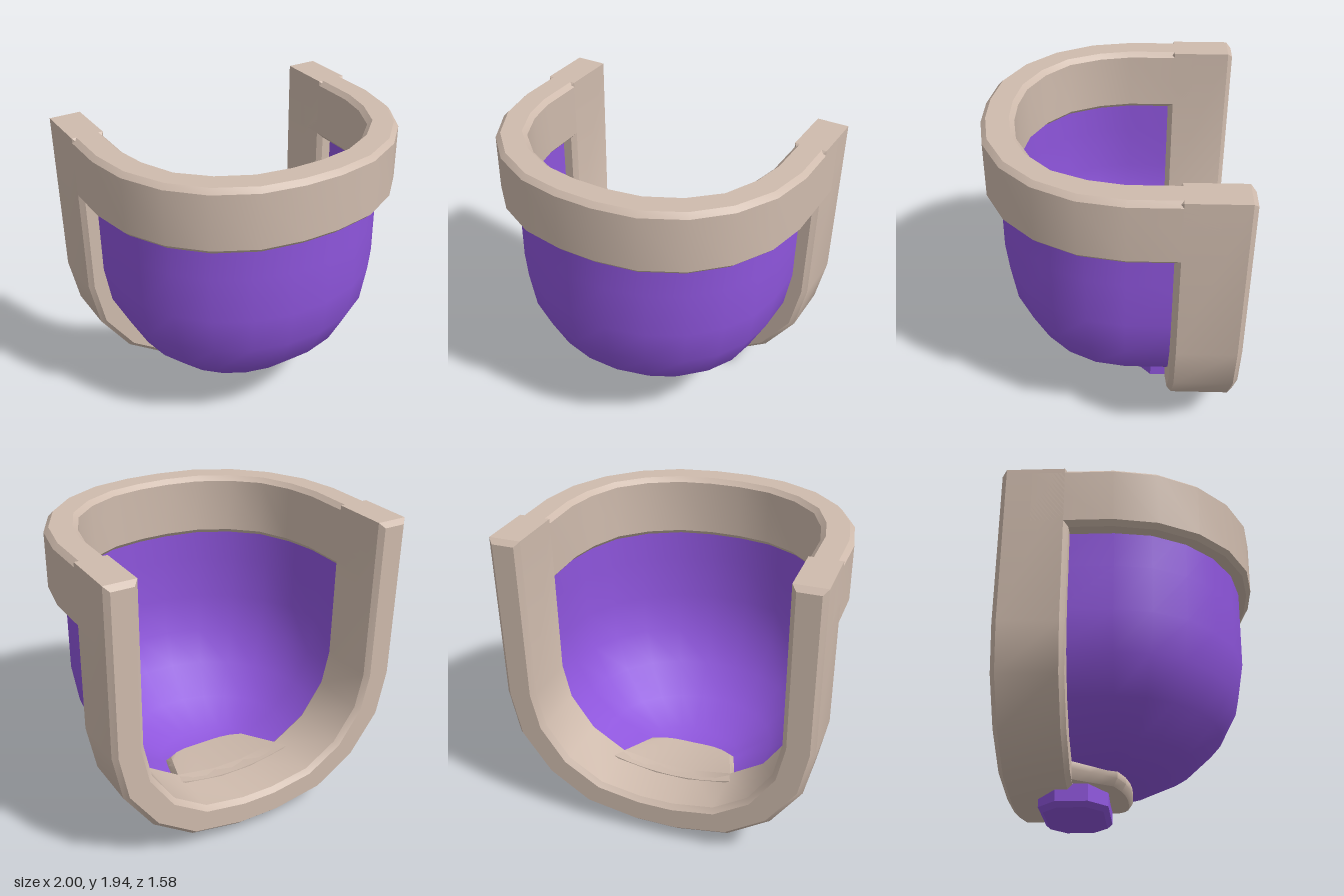
import * as THREE from 'three';
import { toCreasedNormals } from 'three/addons/utils/BufferGeometryUtils.js';

const BEVEL = 0.03;

// Closed outline from the right half of a symmetric U: outer points, then inner ones mirrored back
function uShape(outer, inner) {
  const mirror = (pts) => pts.map(([x, y]) => [-x, y]).reverse();
  const loop = [...outer, ...mirror(outer), ...mirror(inner).reverse(), ...inner.slice().reverse()];
  return new THREE.Shape(loop.map(([x, y]) => new THREE.Vector2(x, y)));
}

// Bevelled slab spanning 0..depth, with the outline kept at its full size
function slab(shape, depth) {
  const geo = new THREE.ExtrudeGeometry(shape, {
    depth: depth - 2 * BEVEL, bevelEnabled: true, bevelSegments: 1,
    bevelSize: BEVEL, bevelThickness: BEVEL, bevelOffset: -BEVEL,
  });
  geo.translate(0, 0, BEVEL);
  return toCreasedNormals(geo, 0.7);
}

// Thin open bowl: each row is [height, half width, front reach], straight at the back, rounded in front
function bowlGeometry() {
  const rows = [
    [1.62, 0.895, 0.81], [1.3, 0.895, 0.81], [1.0, 0.895, 0.81], [0.75, 0.855, 0.77],
    [0.52, 0.74, 0.655], [0.34, 0.56, 0.47], [0.215, 0.33, 0.22], [0.19, 0.1, 0.05], [0.19, 0, 0],
  ];
  const segs = 11, cols = segs + 3, centreZ = -0.1, backZ = -0.45;
  const pos = [], index = [];
  for (const [y, w, reach] of rows) {
    pos.push(-w, y, backZ);
    for (let i = 0; i <= segs; i++) {
      const a = -Math.PI / 2 + (Math.PI * i) / segs;
      pos.push(w * Math.sin(a), y, centreZ + reach * Math.cos(a));
    }
    pos.push(w, y, backZ);
  }
  for (let j = 0; j < rows.length - 1; j++) {
    for (let i = 0; i < cols - 1; i++) {
      const a = j * cols + i, b = a + cols;
      index.push(a, b, a + 1, a + 1, b, b + 1);
    }
  }
  const geo = new THREE.BufferGeometry();
  geo.setAttribute('position', new THREE.Float32BufferAttribute(pos, 3));
  geo.setIndex(index);
  geo.computeVertexNormals();
  return geo;
}

// Tongue under the bowl: a box tapered towards its rounded front and bent up at the sides
function tongueGeometry() {
  const geo = new THREE.BoxGeometry(2, 1, 1, 8, 3, 5);
  const p = geo.attributes.position;
  for (let i = 0; i < p.count; i++) {
    const u = p.getX(i), h = p.getY(i) + 0.5, v = p.getZ(i) + 0.5;
    const inset = Math.abs(h - 0.5) > 0.4 ? 0.025 : 0;
    const x = u * (THREE.MathUtils.lerp(0.44, 0.31, v) - inset);
    const front = -0.02 - inset - 0.08 * Math.abs(u) ** 3;
    const bottom = 0.1, top = THREE.MathUtils.lerp(0.27, 0.22, v);
    const y = THREE.MathUtils.lerp(bottom, top, h) + 0.35 * x * x;
    p.setXYZ(i, x, y, THREE.MathUtils.lerp(-0.5, front, v));
  }
  return toCreasedNormals(geo, 0.7);
}

export function createModel() {
  const model = new THREE.Group();
  model.name = 'cup';
  const beige = new THREE.MeshStandardMaterial({ color: 0xcfbbad });
  beige.name = 'beige';
  const purple = new THREE.MeshStandardMaterial({ color: 0x8e55dc, side: THREE.DoubleSide });
  purple.name = 'purple';
  const add = (name, geo, material) => {
    const mesh = new THREE.Mesh(geo, material);
    mesh.name = name;
    model.add(mesh);
    return mesh;
  };

  // Upright U frame at the back
  const frame = uShape(
    [[1, 1.94], [1, 0.88], [0.94, 0.58], [0.75, 0.31], [0.48, 0.13], [0.14, 0.07]],
    [[0.8, 1.94], [0.8, 0.9], [0.75, 0.67], [0.6, 0.45], [0.38, 0.31], [0.11, 0.265]],
  );
  add('backFrame', slab(frame, 0.42), beige).position.z = -0.79;

  // Horizontal U rim around the top, its ends buried in the frame
  const rim = uShape(
    [[1, 0.6], [1, 0.1], [0.95, -0.17], [0.82, -0.42], [0.63, -0.61], [0.38, -0.74], [0.12, -0.785]],
    [[0.8, 0.6], [0.8, 0.1], [0.76, -0.1], [0.67, -0.3], [0.51, -0.45], [0.31, -0.55], [0.1, -0.585]],
  );
  add('topRim', slab(rim, 0.41).rotateX(-Math.PI / 2), beige).position.y = 1.53;

  // Bowl and the tongue that supports it
  add('bowl', bowlGeometry(), purple);
  add('bottomTongue', tongueGeometry(), beige);

  // Eight-sided foot under the frame
  const foot = [[0.32, 0.1], [0.2, 0.215], [-0.2, 0.215], [-0.32, 0.1],
    [-0.32, -0.1], [-0.2, -0.215], [0.2, -0.215], [0.32, -0.1]];
  const footShape = new THREE.Shape(foot.map(([x, y]) => new THREE.Vector2(x, y)));
  add('foot', slab(footShape, 0.19).rotateX(-Math.PI / 2), purple).position.z = -0.375;

  return model;
}
